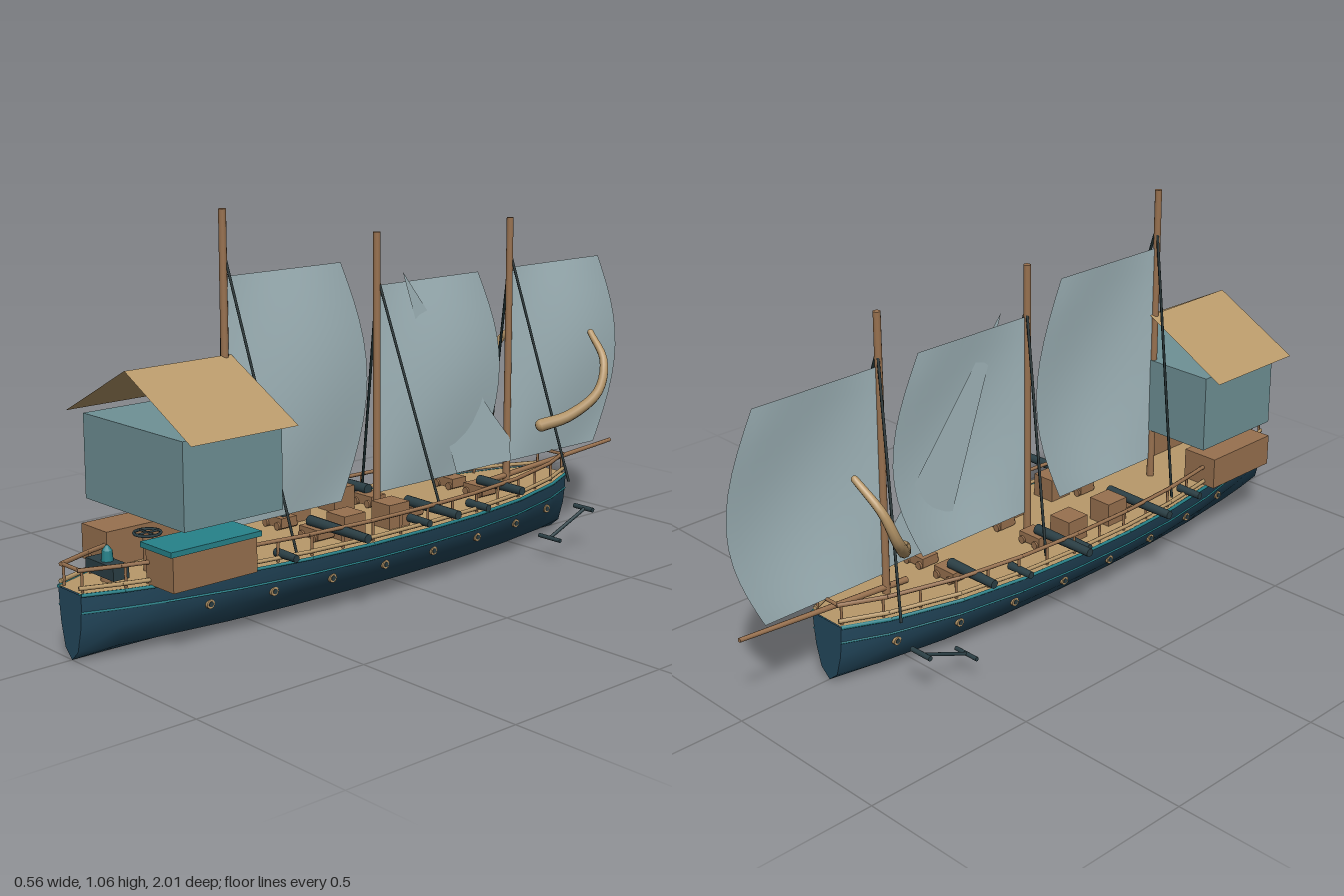
import * as THREE from 'three';

const mat = (name, color, side = THREE.FrontSide) => {
  const m = new THREE.MeshStandardMaterial({ color, side });
  m.name = name;
  return m;
};

export function createModel() {
  const hullBlue = mat('hull blue', 0x24495e, THREE.DoubleSide);
  const teal = mat('teal trim', 0x26828a);
  const deckTan = mat('deck tan', 0xb8996a, THREE.DoubleSide);
  const wood = mat('brown wood', 0x98714f);
  const iron = mat('dark iron', 0x2b3f45);
  const rope = mat('rope', 0x1a2a2c);
  const cloth = mat('sail cloth', 0xa3b8bd, THREE.DoubleSide);
  const wall = mat('cabin wall', 0x6f9196);
  const horn = mat('horn', 0xb8986a);

  const ship = new THREE.Group();
  ship.name = 'ship';
  const V = (x, y, z) => new THREE.Vector3(x, y, z);
  const add = (name, geo, material, x = 0, y = 0, z = 0) => {
    const m = new THREE.Mesh(geo, material);
    m.name = name;
    m.position.set(x, y, z);
    ship.add(m);
    return m;
  };
  // box given by its limits
  const box = (name, material, x0, x1, y0, y1, z0, z1) =>
    add(name, new THREE.BoxGeometry(x1 - x0, y1 - y0, z1 - z0), material, (x0 + x1) / 2, (y0 + y1) / 2, (z0 + z1) / 2);
  // round bar between two points
  const bar = (name, material, a, b, r0, r1 = r0, sides = 10) => {
    const m = add(name, new THREE.CylinderGeometry(r1, r0, a.distanceTo(b), sides), material);
    m.position.copy(a).add(b).multiplyScalar(0.5);
    m.quaternion.setFromUnitVectors(V(0, 1, 0), b.clone().sub(a).normalize());
    return m;
  };

  // Hull plan: half width at each station
  const plan = [[1, 0.05], [0.9, 0.088], [0.8, 0.118], [0.6, 0.165], [0.4, 0.194], [0.2, 0.207],
    [0, 0.207], [-0.2, 0.196], [-0.4, 0.168], [-0.6, 0.113], [-0.72, 0.058]];
  const halfWidth = (z) => {
    for (let i = 1; i < plan.length; i++) {
      const [z0, w0] = plan[i - 1], [z1, w1] = plan[i];
      if (z >= z1) return w0 + (w1 - w0) * (z - z0) / (z1 - z0);
    }
    return 0.058;
  };
  // Hull cross-section: width fraction and height
  const side = [[1, 0.175], [0.95, 0.13], [0.85, 0.085], [0.55, 0.026]];
  const section = [...side, [0, 0], ...side.map(([f, y]) => [-f, y]).reverse()];
  const pos = [], idx = [], n = section.length;
  plan.forEach(([z, w], i) => {
    section.forEach(([f, y], j) => {
      pos.push(f * w, y, z);
      if (i < plan.length - 1 && j < n - 1) {
        const a = i * n + j;
        idx.push(a, a + 1, a + n, a + 1, a + n + 1, a + n);
      }
    });
  });
  const hullGeo = new THREE.BufferGeometry();
  hullGeo.setAttribute('position', new THREE.Float32BufferAttribute(pos, 3));
  hullGeo.setIndex(idx);
  hullGeo.computeVertexNormals();
  add('hull', hullGeo, hullBlue);
  for (const [z, w] of [plan[0], plan[plan.length - 1]]) {
    const shape = new THREE.Shape(section.map(([f, y]) => new THREE.Vector2(f * w, y)));
    add('hullEnd', new THREE.ShapeGeometry(shape), hullBlue, 0, 0, z);
  }

  // Deck
  const outline = [...plan.map(([z, w]) => [w, z]), ...plan.map(([z, w]) => [-w, z]).reverse()];
  const deckShape = new THREE.Shape(outline.map(([x, z]) => new THREE.Vector2(x, -z)));
  add('deck', new THREE.ShapeGeometry(deckShape).rotateX(-Math.PI / 2), deckTan, 0, 0.178, 0);

  // Trim, rails, posts and portholes on both sides
  for (const s of [-1, 1]) {
    for (let i = 1; i < plan.length; i++) {
      const [z0, w0] = plan[i - 1], [z1, w1] = plan[i];
      const run = (name, m, f, inset, y, r) =>
        bar(name, m, V(s * (w0 * f - inset), y, z0), V(s * (w1 * f - inset), y, z1), r, r, 6);
      run('gunwale', teal, 1, 0, 0.175, 0.005);
      run('wale', teal, 0.95, 0, 0.13, 0.003);
      run('rail', wood, 1, 0.014, 0.234, 0.006);
      run('footRail', deckTan, 1, 0.01, 0.19, 0.006);
    }
    for (let i = 0; i <= 17; i++) {
      const z = 0.99 - i * 0.1;
      const x = s * (halfWidth(z) - 0.014);
      bar('railPost', wood, V(x, 0.176, z), V(x, 0.234, z), 0.004, 0.004, 6);
    }
    for (let i = 0; i < 8; i++) {
      const z = 0.68 - i * 0.18, x = s * halfWidth(z) * 0.885;
      bar('porthole', horn, V(x - s * 0.01, 0.102, z), V(x + s * 0.007, 0.102, z), 0.012, 0.012, 12);
      bar('portholeGlass', iron, V(x, 0.102, z), V(x + s * 0.009, 0.102, z), 0.007, 0.007, 10);
    }
  }
  for (const z of [1, -0.72]) {
    const x = halfWidth(z) - 0.014;
    bar('endRail', wood, V(-x, 0.234, z * 0.995), V(x, 0.234, z * 0.995), 0.005, 0.005, 6);
  }

  // Masts, sails and shrouds
  const sailGeometry = (z0, y0, y1, length) => {
    const g = new THREE.PlaneGeometry(1, 1, 12, 12);
    const p = g.attributes.position;
    for (let i = 0; i < p.count; i++) {
      const u = p.getX(i) + 0.5, v = p.getY(i) + 0.5;
      const belly = Math.sin(Math.PI * v);
      p.setXYZ(i, 0.028 * Math.sin(Math.PI * u) * belly, y0 + v * (y1 - y0), z0 - u * (length + 0.095 * belly));
    }
    g.computeVertexNormals();
    return g;
  };
  for (const [z, top, sailTop, ropeTop] of [[0.52, 1.06, 0.89, 0.93], [0, 0.96, 0.815, 0.82], [-0.52, 0.96, 0.815, 0.84]]) {
    bar('mast', wood, V(0, 0.17, z), V(0, top, z), 0.011, 0.01, 12);
    add('sail', sailGeometry(z - 0.005, 0.235, sailTop, 0.385), cloth);
    for (const s of [-1, 1]) {
      bar('shroud', rope, V(s * 0.005, ropeTop, z - 0.005), V(s * 0.165, 0.19, z - 0.092), 0.004, 0.004, 6);
    }
  }
  const stay = new THREE.Shape([[0.085, 0.845], [0.3, 0.24], [0.525, 0.24], [0.52, 0.31], [0.44, 0.4]]
    .map(([a, b]) => new THREE.Vector2(a, b)));
  add('staysail', new THREE.ShapeGeometry(stay).rotateY(Math.PI / 2), cloth, 0.012, 0, 0);
  bar('bowsprit', wood, V(0, 0.19, -0.45), V(0, 0.226, -0.99), 0.009, 0.006);

  // Raised stern house with an open gable roof
  box('sternHouse', wall, -0.21, 0.21, 0.328, 0.55, 0.508, 0.81);
  const slope = Math.hypot(0.265, 0.14);
  for (const s of [-1, 1]) {
    const roof = add('roofSlope', new THREE.PlaneGeometry(slope, 0.325).rotateX(-Math.PI / 2), deckTan, s * 0.1325, 0.62, 0.6625);
    roof.rotation.z = -s * Math.atan2(0.14, 0.265);
  }

  // Stern deck cabins
  for (const s of [-1, 1]) {
    box('deckCabin', wood, s * 0.14 - 0.056, s * 0.14 + 0.056, 0.178, 0.27, 0.58, 0.835);
  }
  box('cabinLid', teal, 0.075, 0.203, 0.27, 0.284, 0.57, 0.845);

  // Stern lantern and steering wheel
  box('lanternBase', iron, -0.06, 0.06, 0.193, 0.228, 0.868, 0.914);
  bar('lanternFoot', wood, V(0, 0.178, 0.89), V(0, 0.195, 0.89), 0.018);
  bar('lantern', teal, V(0, 0.228, 0.89), V(0, 0.255, 0.89), 0.015, 0.013);
  bar('lanternCap', teal, V(0, 0.255, 0.89), V(0, 0.268, 0.89), 0.013, 0.003);
  bar('wheelColumn', wood, V(0, 0.178, 0.77), V(0, 0.275, 0.77), 0.012);
  add('steeringWheel', new THREE.TorusGeometry(0.034, 0.004, 6, 20).rotateX(Math.PI / 2), iron, 0, 0.275, 0.77);
  for (const a of [0, Math.PI / 2]) {
    const d = V(Math.cos(a) * 0.034, 0, Math.sin(a) * 0.034), c = V(0, 0.275, 0.77);
    bar('wheelSpoke', iron, c.clone().sub(d), c.clone().add(d), 0.003, 0.003, 6);
  }

  for (const s of [-1, 1]) {
    // Large guns on carriages
    for (const [z, x0, x1] of [[-0.345, 0.06, 0.228], [-0.04, 0.08, 0.28], [0.285, 0.05, 0.28]]) {
      bar('gunBarrel', iron, V(s * x0, 0.222, z), V(s * x1, 0.222, z), 0.015, 0.012, 12);
      const c = s * (z < -0.2 ? 0.06 : 0.075);
      box('gunCarriage', wood, c - 0.038, c + 0.038, 0.185, 0.212, z - 0.027, z + 0.027);
      for (const dx of [-0.025, 0.025]) {
        bar('carriageAxle', wood, V(c + dx, 0.19, z - 0.033), V(c + dx, 0.19, z + 0.033), 0.011);
      }
    }
    // Small rail guns
    for (const z of [-0.21, 0.015, 0.48]) {
      bar('smallGun', iron, V(s * 0.148, 0.198, z), V(s * 0.228, 0.198, z), 0.012, 0.01);
    }
    // Deck crates
    for (const z of [0.052, 0.213]) {
      box('crate', wood, s * 0.112 - 0.036, s * 0.112 + 0.036, 0.178, 0.245, z - 0.037, z + 0.037);
    }

    // Curved bow horns, tapered along their path
    const path = new THREE.CatmullRomCurve3([V(s * 0.11, 0.36, -0.55), V(s * 0.17, 0.39, -0.6),
      V(s * 0.222, 0.46, -0.665), V(s * 0.212, 0.545, -0.7), V(s * 0.14, 0.618, -0.722)]);
    const steps = 20, ring = 10;
    const hornGeo = new THREE.TubeGeometry(path, steps, 0.019, ring);
    const p = hornGeo.attributes.position, v = V(0, 0, 0);
    for (let i = 0; i < p.count; i++) {
      const t = Math.floor(i / (ring + 1)) / steps;
      const c = path.getPointAt(t);
      v.fromBufferAttribute(p, i).sub(c).multiplyScalar(1 - 0.5 * t).add(c);
      p.setXYZ(i, v.x, v.y, v.z);
    }
    add('bowHorn', hornGeo, horn);
    add('hornBase', new THREE.SphereGeometry(0.019, 10, 8), horn, s * 0.11, 0.36, -0.55);
    add('hornTip', new THREE.SphereGeometry(0.0095, 10, 8), horn, s * 0.14, 0.618, -0.722);

    // Anchors
    bar('anchorShank', iron, V(s * 0.236, 0.125, -0.605), V(s * 0.236, 0.065, -0.455), 0.005);
    bar('anchorStock', iron, V(s * 0.196, 0.125, -0.605), V(s * 0.266, 0.125, -0.605), 0.007);
    bar('anchorArm', iron, V(s * 0.196, 0.065, -0.455), V(s * 0.276, 0.065, -0.455), 0.006);
  }

  return ship;
}
